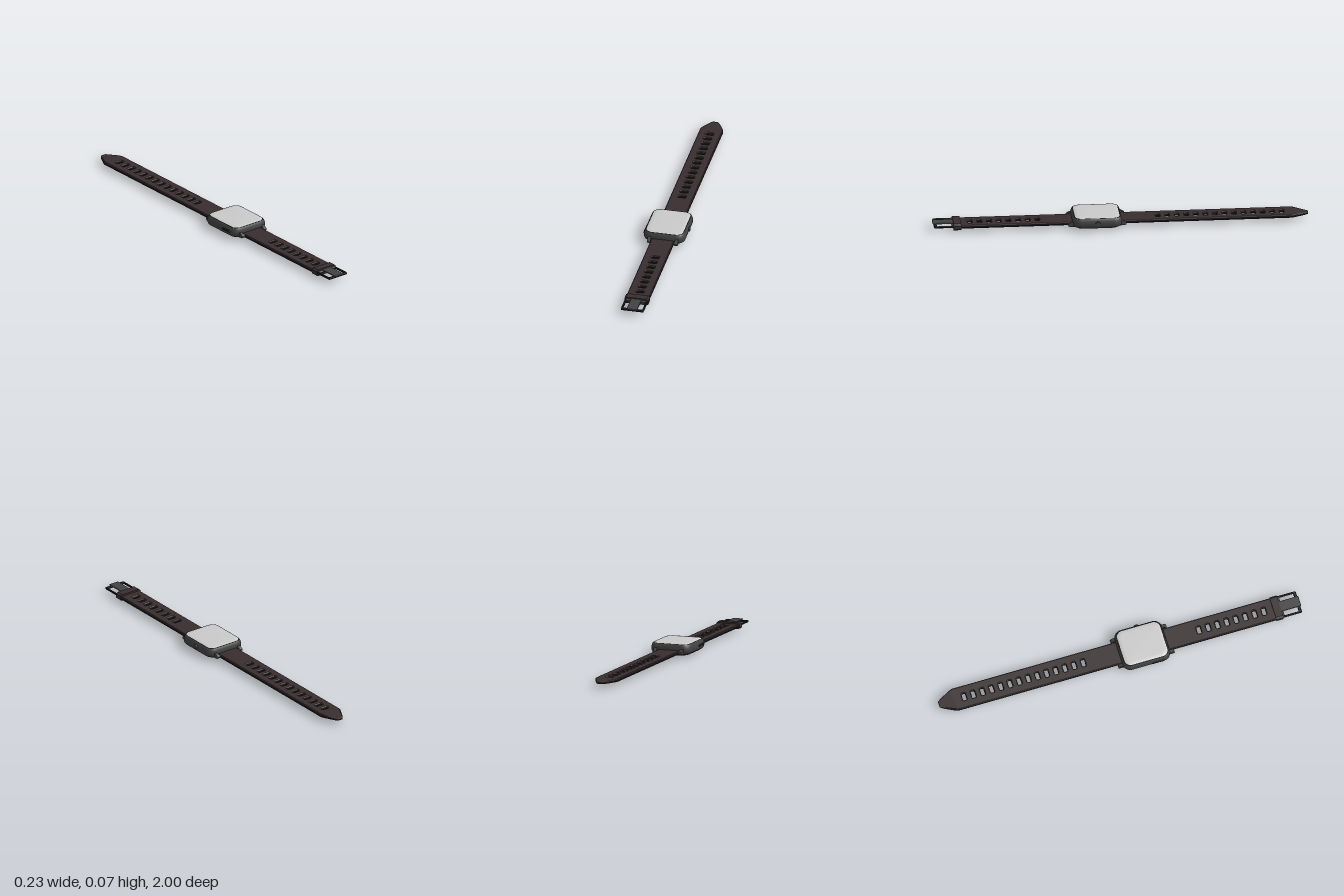
import * as THREE from 'three';
import { toCreasedNormals } from 'three/addons/utils/BufferGeometryUtils.js';

const CX = -0.002, CZ = 0.127; // centre of the watch case
const mat = (name, color, side = THREE.FrontSide) => {
  const m = new THREE.MeshStandardMaterial({ color, side });
  m.name = name;
  return m;
};

// Outline of a rounded rectangle as [x, z] points
function roundedOutline(hw, hl, r, n = 8) {
  const pts = [];
  for (let q = 0; q < 4; q++) {
    const sx = q === 0 || q === 3 ? 1 : -1, sz = q < 2 ? 1 : -1;
    for (let i = 0; i <= n; i++) {
      const a = (q + i / n) * Math.PI / 2;
      pts.push([sx * (hw - r) + r * Math.cos(a), sz * (hl - r) + r * Math.sin(a)]);
    }
  }
  return pts;
}

// Solid through stacked rounded rectangles: [y, halfWidth, halfLength, radius]
function loft(levels) {
  const pos = [], idx = [];
  const rings = levels.map(([, w, l, r]) => roundedOutline(w, l, r));
  const n = rings[0].length, last = (levels.length - 1) * n;
  rings.forEach((ring, k) => ring.forEach(([x, z]) => pos.push(x, levels[k][0], z)));
  for (let k = 0; k < levels.length - 1; k++) {
    for (let i = 0; i < n; i++) {
      const a = k * n + i, b = k * n + (i + 1) % n;
      idx.push(a, a + n, b, b, a + n, b + n);
    }
  }
  pos.push(0, levels[0][0], 0, 0, levels[levels.length - 1][0], 0);
  const c = last + n;
  for (let i = 0; i < n; i++) {
    const j = (i + 1) % n;
    idx.push(c, i, j, c + 1, last + j, last + i);
  }
  const g = new THREE.BufferGeometry();
  g.setAttribute('position', new THREE.Float32BufferAttribute(pos, 3));
  g.setIndex(idx);
  return toCreasedNormals(g, 0.6);
}

function rectPath(x, z, hw, hl, r, Type = THREE.Path) {
  return new Type(roundedOutline(hw, hl, r, 4).map(p => new THREE.Vector2(x + p[0], z + p[1])));
}

// Flat plate from an x-z shape, filling y0..y1 with bevelled edges
function plate(shape, y0, y1, bevel = 0) {
  const t = Math.min(bevel, (y1 - y0) * 0.4);
  const g = new THREE.ExtrudeGeometry(shape, {
    depth: y1 - y0 - 2 * t, bevelEnabled: bevel > 0, bevelThickness: t,
    bevelSize: bevel, bevelOffset: -bevel, bevelSegments: 1, curveSegments: 6
  });
  return g.rotateX(Math.PI / 2).translate(0, y1 - t, 0);
}

export function createModel() {
  const model = new THREE.Group();
  const caseGrey = mat('case grey', 0x424243);
  const shellGrey = mat('lower shell grey', 0x353435);
  const strapBrown = mat('strap brown', 0x382e2f);
  const black = mat('lining black', 0x1d1c1c);
  const screenGrey = mat('screen light grey', 0xcacaca);

  const add = (name, geo, material, x = 0, y = 0, z = 0) => {
    const m = new THREE.Mesh(geo, material);
    m.name = name;
    m.position.set(x, y, z);
    model.add(m);
    return m;
  };

  // Watch case
  add('lowerShell', loft([
    [0.004, 0.06, 0.08, 0.03], [0.006, 0.076, 0.098, 0.034],
    [0.011, 0.092, 0.113, 0.038], [0.021, 0.103, 0.122, 0.04]
  ]), shellGrey, CX, 0, CZ);
  add('case', loft([
    [0.019, 0.104, 0.123, 0.04], [0.024, 0.109, 0.128, 0.042], [0.032, 0.112, 0.131, 0.043],
    [0.046, 0.113, 0.131, 0.043], [0.058, 0.110, 0.129, 0.042],
    [0.066, 0.107, 0.126, 0.04], [0.07, 0.103, 0.123, 0.038]
  ]), caseGrey, CX, 0, CZ);
  add('screenRim', loft([[0.069, 0.104, 0.123, 0.037], [0.0708, 0.102, 0.121, 0.036]]), black, CX, 0, CZ);
  add('screen', loft([
    [0.0705, 0.1, 0.119, 0.034], [0.0722, 0.097, 0.116, 0.032], [0.0732, 0.08, 0.1, 0.025]
  ]), screenGrey, CX, 0, CZ);

  // Sensor pad underneath
  add('sensorPad', loft([[0, 0.04, 0.035, 0.014], [0.005, 0.044, 0.039, 0.016]]), black, CX, 0, CZ);
  add('sensorWindow', plate(rectPath(0, 0, 0.028, 0.024, 0.01, THREE.Shape), 0, 0.003), shellGrey, CX, -0.0004, CZ);

  // Side buttons
  const crown = new THREE.CylinderGeometry(0.013, 0.014, 0.008, 24).rotateZ(-Math.PI / 2);
  add('crown', crown, caseGrey, CX + 0.113, 0.043, CZ);
  const key = loft([[-0.003, 0.007, 0.035, 0.0065], [0.003, 0.006, 0.034, 0.0055]]).rotateZ(Math.PI / 2);
  add('sideKey', key, black, CX - 0.112, 0.043, CZ + 0.055);

  // Lugs and strap pins at both ends
  const lugShape = new THREE.Shape();
  lugShape.moveTo(0.1, 0.018);
  lugShape.lineTo(0.147, 0.02);
  lugShape.quadraticCurveTo(0.158, 0.024, 0.155, 0.033);
  lugShape.quadraticCurveTo(0.145, 0.044, 0.12, 0.05);
  lugShape.lineTo(0.1, 0.05);
  const lugGeo = toCreasedNormals(new THREE.ExtrudeGeometry(lugShape, {
    depth: 0.014, bevelThickness: 0.002, bevelSize: 0.002, bevelOffset: -0.002, bevelSegments: 2
  }).translate(0, 0, -0.007).rotateY(-Math.PI / 2), 0.5);
  const pinGeo = new THREE.CylinderGeometry(0.007, 0.007, 0.15, 16).rotateZ(Math.PI / 2);
  for (const s of [-1, 1]) {
    for (const x of [-0.074, 0.074]) {
      add('lug', lugGeo, caseGrey, CX + x, 0, CZ).rotation.y = s < 0 ? Math.PI : 0;
    }
    add('strapPin', pinGeo, black, CX, 0.031, CZ + s * 0.145);
  }

  // Straps: brown top layer over a black lining, pierced by a row of slots
  const SX = -0.003, HW = 0.062;
  function strap(name, outline, firstSlot, lastSlot, count) {
    const shape = new THREE.Shape(outline.map(([x, z]) => new THREE.Vector2(x, z)));
    for (let i = 0; i < count; i++) {
      const z = firstSlot + (lastSlot - firstSlot) * i / (count - 1);
      shape.holes.push(rectPath(0, z, 0.02, 0.01, 0.005));
    }
    const top = plate(shape, 0.026, 0.038, 0.004);
    const lining = plate(shape, 0.022, 0.027);
    for (const g of [top, lining]) { // thin the pointed tip
      const p = g.attributes.position;
      for (let i = 0; i < p.count; i++) {
        if (p.getZ(i) < -0.95) p.setY(i, 0.022 + (p.getY(i) - 0.022) * 0.6);
      }
      g.computeVertexNormals();
    }
    add(name, top, strapBrown, SX);
    add(name + 'Lining', lining, black, SX);
  }
  strap('backStrap', [
    [-HW, 0.01], [-HW, -0.91], [-0.055, -0.928], [-0.026, -0.985], [-0.014, -1],
    [0.014, -1], [0.026, -0.985], [0.055, -0.928], [HW, -0.91], [HW, 0.01]
  ], -0.86, -0.2, 14);
  strap('frontStrap', [[-HW, 0.245], [HW, 0.245], [HW, 0.89], [-HW, 0.89]], 0.44, 0.8, 8);

  // Keeper loop around the front strap
  const loop = new THREE.Shape();
  loop.moveTo(-0.065, 0.018);
  for (const [x, y] of [[-0.058, 0.012], [0.058, 0.012], [0.065, 0.018], [0.065, 0.04],
    [0.055, 0.048], [-0.055, 0.048], [-0.065, 0.04]]) loop.lineTo(x, y);
  add('keeper', new THREE.ExtrudeGeometry(loop, { depth: 0.04, bevelEnabled: false }), strapBrown, SX, 0, 0.85);

  // Buckle frame with its tongue
  const frame = rectPath(0, 0.94, 0.062, 0.054, 0.006, THREE.Shape);
  frame.holes.push(rectPath(0, 0.935, 0.052, 0.043, 0.003));
  add('buckleFrame', plate(frame, 0.027, 0.037, 0.002), black, SX);
  const tongue = plate(rectPath(0, 0.94, 0.029, 0.059, 0.004, THREE.Shape), 0.037, 0.043, 0.0015);
  add('buckleTongue', tongue, caseGrey, SX);
  const hinge = new THREE.CylinderGeometry(0.007, 0.007, 0.11, 12).rotateZ(Math.PI / 2);
  add('buckleHinge', hinge, caseGrey, SX, 0.033, 0.893);

  return model;
}
